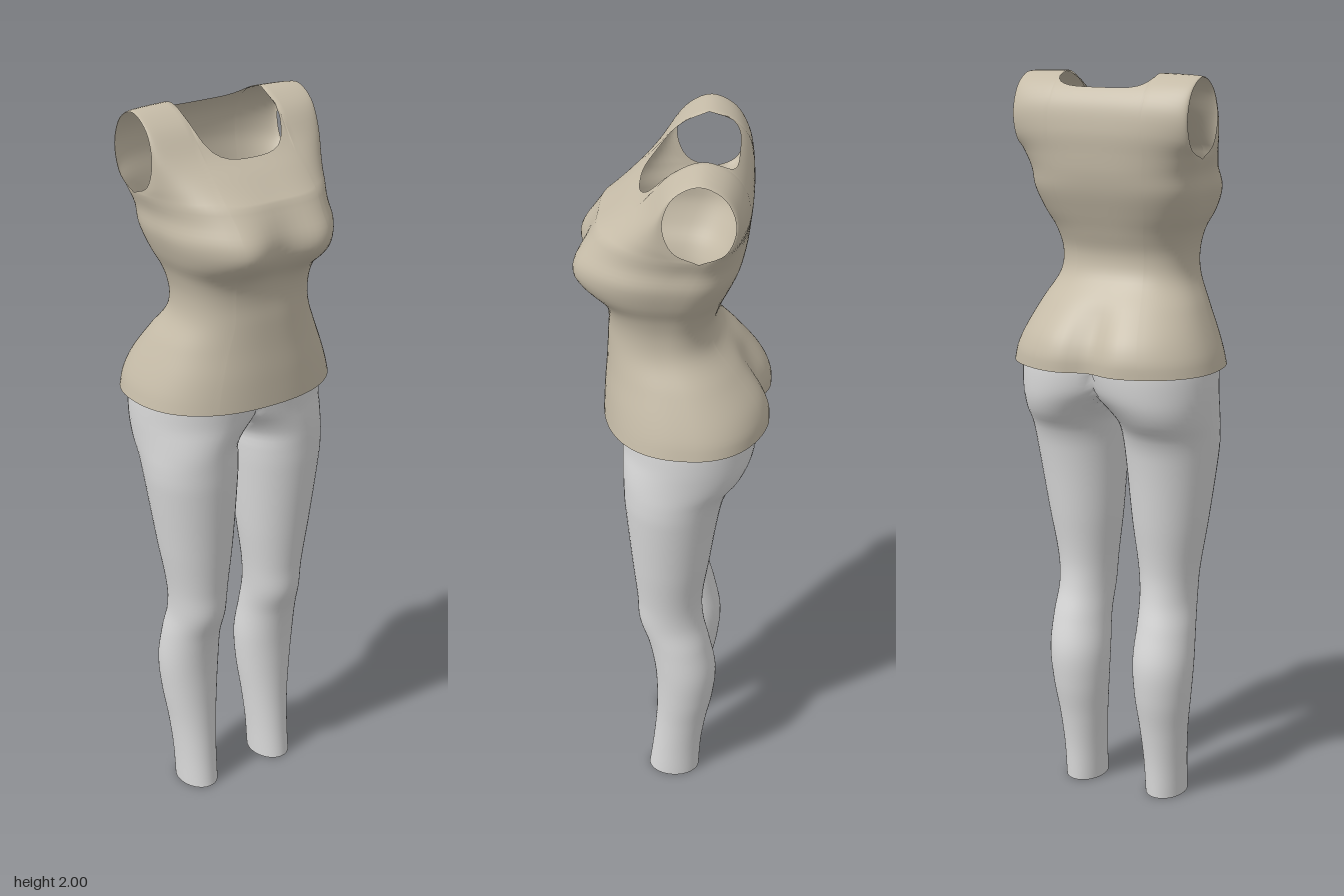
import * as THREE from 'three';
import { mergeVertices } from 'three/addons/utils/BufferGeometryUtils.js';

const lerp = THREE.MathUtils.lerp;
const bell = (v, sigma) => Math.exp(-0.5 * (v / sigma) ** 2);

// Smooth interpolation of table rows [y, a, b, ...] at height y
function sample(table, y) {
  let i = 0;
  while (i < table.length - 2 && y > table[i + 1][0]) i++;
  const slope = (k, c) => {
    const a = table[Math.max(k - 1, 0)], b = table[Math.min(k + 1, table.length - 1)];
    return (b[c] - a[c]) / (b[0] - a[0]);
  };
  const p = table[i], q = table[i + 1], h = q[0] - p[0];
  const t = THREE.MathUtils.clamp((y - p[0]) / h, 0, 1), t2 = t * t, t3 = t2 * t;
  return p.map((_, c) => (2 * t3 - 3 * t2 + 1) * p[c] + (t3 - 2 * t2 + t) * h * slope(i, c)
    + (3 * t2 - 2 * t3) * q[c] + (t3 - t2) * h * slope(i + 1, c));
}

// Collects grids of points into one smooth surface
function surface(grids, keep = () => true) {
  const positions = [], index = [];
  for (const { rows, flip } of grids) {
    const base = positions.length / 3, n = rows[0].length;
    rows.flat().forEach(p => positions.push(...p));
    for (let i = 0; i < rows.length - 1; i++) {
      for (let j = 0; j < n - 1; j++) {
        const a = [i, j], b = [i, j + 1], c = [i + 1, j + 1], d = [i + 1, j];
        for (const tri of [[a, b, c], [a, c, d]]) {
          if (!keep(tri.map(([r, k]) => rows[r][k]))) continue;
          const ids = tri.map(([r, k]) => base + r * n + k);
          index.push(...(flip ? ids.reverse() : ids));
        }
      }
    }
  }
  const geo = new THREE.BufferGeometry();
  geo.setAttribute('position', new THREE.Float32BufferAttribute(positions, 3));
  geo.setIndex(index);
  const merged = mergeVertices(geo, 1e-5);
  merged.computeVertexNormals();
  return merged;
}

// Torso sections: height, half width, side z, front z, back z, squareness
const TORSO = [
  [1.24, 0.288, -0.05, 0.185, -0.262, 2.3],
  [1.28, 0.278, -0.05, 0.183, -0.26, 2.3],
  [1.33, 0.258, -0.04, 0.18, -0.24, 2.3],
  [1.40, 0.225, -0.02, 0.174, -0.185, 2.3],
  [1.47, 0.189, 0.01, 0.17, -0.125, 2.4],
  [1.53, 0.183, 0.015, 0.167, -0.112, 2.5],
  [1.59, 0.196, 0.01, 0.175, -0.13, 2.6],
  [1.64, 0.219, 0, 0.198, -0.15, 2.8],
  [1.70, 0.237, -0.02, 0.205, -0.173, 2.9],
  [1.75, 0.238, -0.05, 0.198, -0.185, 2.7],
  [1.79, 0.25, -0.075, 0.185, -0.19, 2.6],
];
const ARMPIT = 1.79, SHOULDER = 0.25, NECK = 0.54;

// Bust swelling on the front
const bust = (x, y) => 0.05 * bell(y - 1.675, y < 1.675 ? 0.045 : 0.065)
  * (bell(x - 0.11, 0.065) + bell(x + 0.11, 0.065));
// Cleft on the lower back
const cleft = (x, y) => 0.032 * bell(x, 0.04) * THREE.MathUtils.smoothstep(1.46 - y, 0, 0.14);
const round = (s, n) => Math.pow(Math.max(0, 1 - Math.abs(s) ** n), 1 / n);

// Yoke profiles over the shoulder, front to back, as (z, y)
const profile = pts => new THREE.CatmullRomCurve3(pts.map(([z, y]) => new THREE.Vector3(0, y, z)));
const BODY = profile([[0.185, 1.79], [0.125, 1.845], [0.065, 1.895], [0, 1.965], [-0.075, 2.0],
  [-0.14, 1.98], [-0.182, 1.93], [-0.195, 1.86], [-0.19, 1.79]]);
const ARMHOLE = profile([[-0.075, 1.79], [-0.012, 1.82], [0.012, 1.89], [-0.014, 1.962], [-0.075, 1.993],
  [-0.136, 1.962], [-0.162, 1.89], [-0.138, 1.82], [-0.075, 1.79]]);

function yokePoint(s, t) {
  const c = round(s, 2.6), p = ARMHOLE.getPoint(t).lerp(BODY.getPoint(t), c), x = s * SHOULDER;
  return [x, p.y, p.z + (t < 0.5 ? bust(x, p.y) * c : 0)];
}

function shirtGeometry() {
  // Columns across the chest, denser at the neck edges and the sides
  const neck = [], side = [], N = 18, M = 14;
  for (let i = 0; i <= N; i++) neck.push(NECK * Math.sin((i / N - 0.5) * Math.PI));
  for (let i = 1; i <= M; i++) side.push(Math.sin(lerp(Math.asin(NECK), Math.PI / 2, i / M)));
  const cols = [...side.map(s => -s).reverse(), ...neck, ...side];

  // Closed rings from hem to armpit
  const body = [], R = 44;
  for (let i = 0; i <= R; i++) {
    const y = lerp(1.24, ARMPIT, i / R);
    const [, w, zc, zf, zb, n] = sample(TORSO, y);
    const front = cols.map(s => [s * w, y, zc + (zf - zc + bust(s * w, y)) * round(s, n)]);
    const back = cols.map(s => [s * w, y, zc + (zb - zc + cleft(s * w, y)) * round(s, n)]);
    body.push([...front, ...back.reverse()]);
  }

  // Front and back yokes, cut away around the neck
  const cut = (s, k) => Math.abs(s) < NECK ? round(s / NECK, k) : 0;
  const frontYoke = [], backYoke = [], K = 20;
  for (let i = 0; i <= K; i++) {
    frontYoke.push(cols.map(s => yokePoint(s, (0.5 - 0.29 * cut(s, 3)) * i / K)));
    backYoke.push(cols.map(s => yokePoint(s, lerp(0.5 + 0.17 * cut(s, 4), 1, i / K))));
  }
  return surface([{ rows: body }, { rows: frontYoke }, { rows: backYoke }]);
}

// Leg sections: height, inner x, outer x, front z, back z
const LEG = [
  [0, 0.072, 0.184, 0.066, -0.08],
  [0.1, 0.068, 0.187, 0.054, -0.086],
  [0.2, 0.06, 0.195, 0.045, -0.1],
  [0.3, 0.05, 0.208, 0.042, -0.119],
  [0.4, 0.045, 0.216, 0.047, -0.126],
  [0.5, 0.05, 0.212, 0.064, -0.108],
  [0.58, 0.049, 0.205, 0.09, -0.09],
  [0.66, 0.043, 0.21, 0.095, -0.086],
  [0.8, 0.026, 0.234, 0.108, -0.105],
  [1.0, 0.01, 0.264, 0.124, -0.135],
  [1.06, 0.006, 0.269, 0.126, -0.155],
  [1.1, 0.002, 0.271, 0.127, -0.185],
  [1.14, -0.03, 0.273, 0.128, -0.207],
  [1.18, -0.08, 0.275, 0.129, -0.22],
  [1.24, -0.12, 0.275, 0.134, -0.227],
  [1.26, -0.13, 0.272, 0.135, -0.225],
];

function trouserGeometry() {
  const half = side => {
    const rows = [], R = 84, N = 48;
    for (let i = 0; i <= R; i++) {
      const y = 1.26 * i / R, [, xi, xo, zf, zb] = sample(LEG, y), row = [];
      for (let j = 0; j <= N; j++) {
        const a = (j % N) / N * Math.PI * 2;
        // Sections that cross the middle are trimmed there, so the halves join
        const x = Math.max(0, (xi + xo) / 2 + (xo - xi) / 2 * Math.sin(a));
        row.push([side * x, y, (zf + zb) / 2 + (zf - zb) / 2 * Math.cos(a)]);
      }
      rows.push(row);
    }
    return { rows, flip: side < 0 };
  };
  return surface([half(1), half(-1)], tri => tri.some(p => Math.abs(p[0]) > 1e-6));
}

export function createModel() {
  const beige = new THREE.MeshStandardMaterial({ color: 0xc6bca8, side: THREE.DoubleSide });
  beige.name = 'beige cloth';
  const grey = new THREE.MeshStandardMaterial({ color: 0xdadada, side: THREE.DoubleSide });
  grey.name = 'light grey cloth';

  const group = new THREE.Group();
  group.name = 'outfit';
  const shirt = new THREE.Mesh(shirtGeometry(), beige);
  shirt.name = 'sleevelessTop';
  const trousers = new THREE.Mesh(trouserGeometry(), grey);
  trousers.name = 'leggings';
  group.add(shirt, trousers);
  return group;
}
